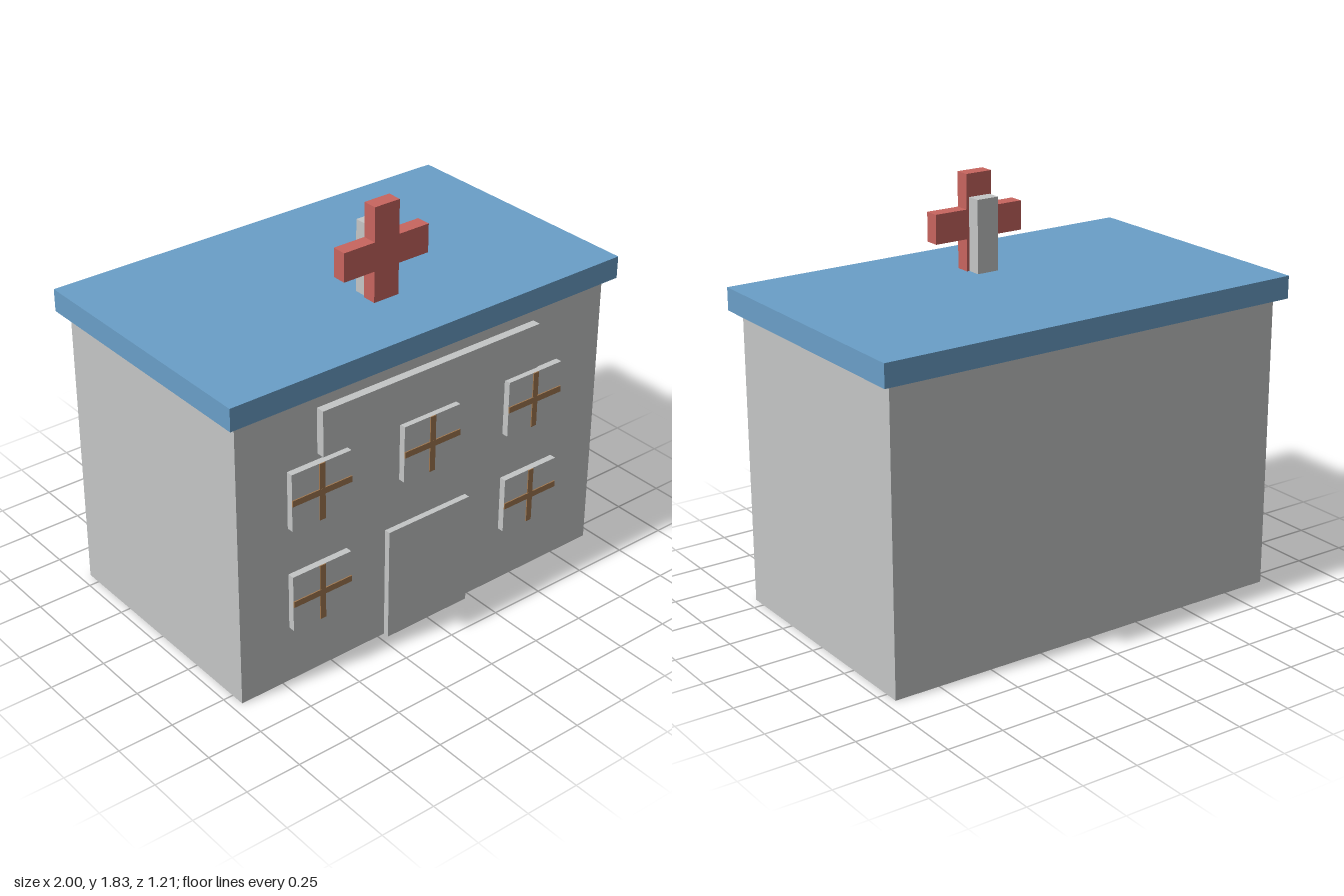
import * as THREE from 'three';

const material = (name, color) => {
  const m = new THREE.MeshStandardMaterial({ color });
  m.name = name;
  return m;
};

export function createModel() {
  const wallGrey = material('wall grey', 0xc4c6c6);
  const roofBlue = material('roof blue', 0x6a9fc8);
  const crossRed = material('cross red', 0xc8655f);
  const frameBrown = material('frame brown', 0xa07850);

  const model = new THREE.Group();
  model.name = 'hospital';

  // Box given by its lower and upper limits on each axis
  const box = (name, mat, [x0, x1], [y0, y1], [z0, z1], parent = model) => {
    const mesh = new THREE.Mesh(new THREE.BoxGeometry(x1 - x0, y1 - y0, z1 - z0), mat);
    mesh.position.set((x0 + x1) / 2, (y0 + y1) / 2, (z0 + z1) / 2);
    mesh.name = name;
    parent.add(mesh);
    return mesh;
  };

  // Building shell
  const front = 0.565;
  box('walls', wallGrey, [-0.955, 0.955], [0, 1.31], [-front, front]);
  box('roof', roofBlue, [-1, 1], [1.31, 1.41], [-0.607, 0.607]);
  box('door', wallGrey, [-0.217, 0.217], [0, 0.525], [front, 0.592]);
  box('signBoard', wallGrey, [-0.565, 0.565], [1.03, 1.235], [front, 0.603]);

  // Windows with thin crossed glazing bars
  const addWindow = (x, y) => {
    const group = new THREE.Group();
    group.name = 'window';
    group.position.set(x, y, front);
    box('windowPane', wallGrey, [-0.147, 0.147], [-0.13, 0.13], [0, 0.03], group);
    box('verticalBar', frameBrown, [-0.014, 0.014], [-0.13, 0.13], [0.03, 0.035], group);
    box('horizontalBar', frameBrown, [-0.147, 0.147], [-0.014, 0.014], [0.03, 0.0355], group);
    model.add(group);
  };
  for (const x of [-0.566, 0, 0.566]) addWindow(x, 0.873);
  for (const x of [-0.566, 0.566]) addWindow(x, 0.395);

  // Rooftop cross and its supporting post
  const cross = new THREE.Group();
  cross.name = 'roofCross';
  const depth = [0.23, 0.295];
  box('crossUpright', crossRed, [-0.063, 0.063], [1.41, 1.83], depth, cross);
  box('crossRightArm', crossRed, [-0.217, -0.063], [1.55, 1.678], depth, cross);
  box('crossLeftArm', crossRed, [0.063, 0.217], [1.55, 1.678], depth, cross);
  box('crossPost', wallGrey, [-0.053, 0.05], [1.41, 1.73], [0.167, 0.23], cross);
  model.add(cross);

  return model;
}
